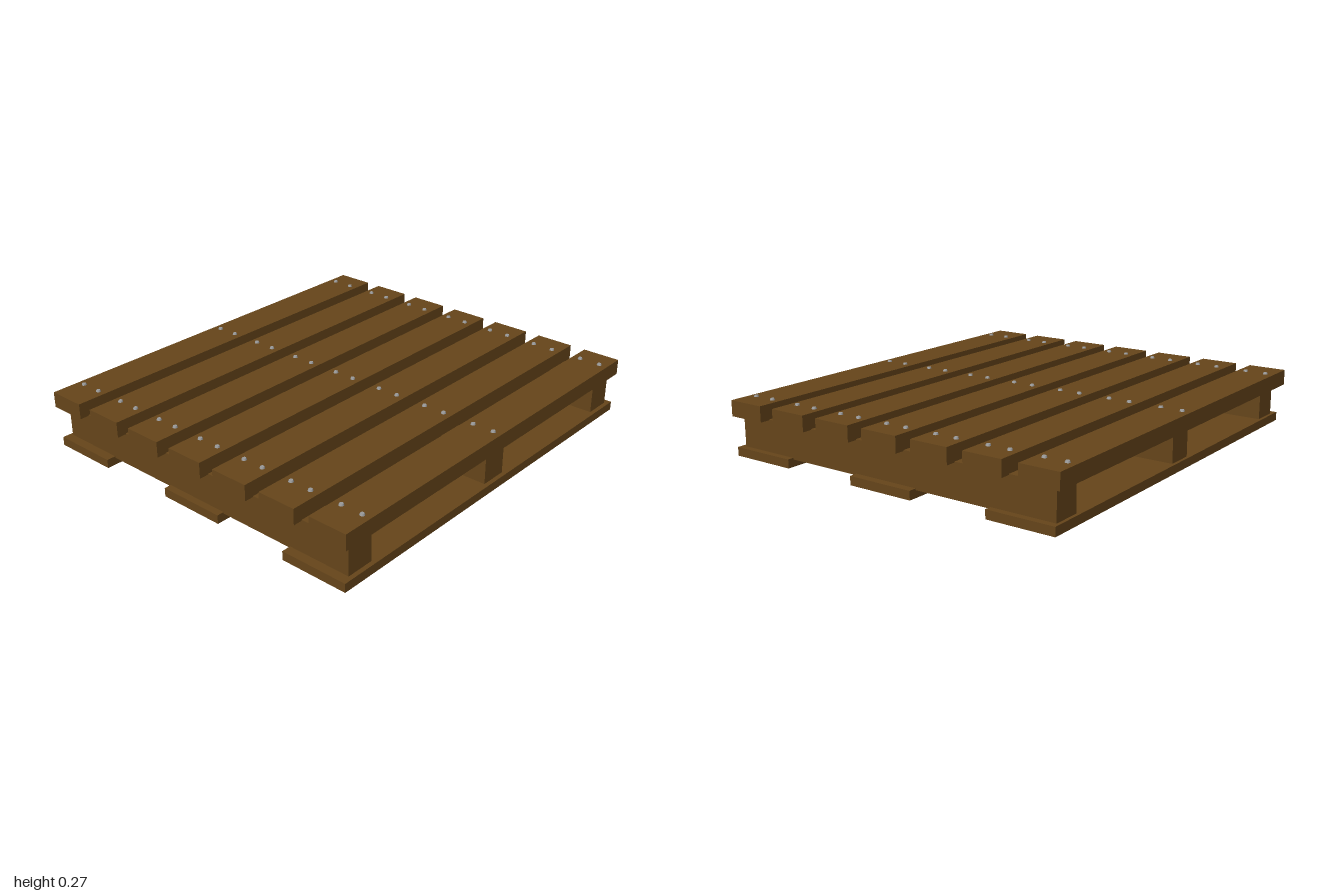
import * as THREE from 'three';

export function createModel() {
  const model = new THREE.Group();
  model.name = 'pallet';
  const wood = new THREE.MeshStandardMaterial({ color: 0x66451a });
  const steel = new THREE.MeshStandardMaterial({ color: 0x999999 });

  // Box given by its minimum and maximum on each axis
  const board = (name, [x0, x1], [y0, y1], [z0, z1]) => {
    const mesh = new THREE.Mesh(new THREE.BoxGeometry(x1 - x0, y1 - y0, z1 - z0), wood);
    mesh.position.set((x0 + x1) / 2, (y0 + y1) / 2, (z0 + z1) / 2);
    mesh.name = name;
    model.add(mesh);
  };

  // Bottom boards, laid slightly unevenly
  board('bottomBoardFront', [-1, 0.983], [0, 0.041], [0.552, 0.877]);
  board('bottomBoardMiddle', [-0.99, 0.99], [0, 0.041], [-0.152, 0.175]);
  board('bottomBoardBack', [-1, 0.983], [0, 0.041], [-0.85, -0.527]);

  // Stringers running front to back
  board('stringerRight', [-0.956, -0.823], [0.034, 0.192], [-0.835, 0.856]);
  board('stringerMiddle', [-0.067, 0.065], [0.034, 0.192], [-0.835, 0.856]);
  board('stringerLeft', [0.82, 0.953], [0.034, 0.192], [-0.835, 0.856]);

  // Seven deck planks, each with two nails over every stringer
  const nailHead = new THREE.CylinderGeometry(0.009, 0.013, 0.012, 12);
  for (let i = -3; i <= 3; i++) {
    const z = i * 0.2625;
    board('deckPlank', [-1, 1], [0.188, 0.262], [z - 0.093, z + 0.093]);
    for (const x of [-0.86, 0, 0.89]) {
      for (const dz of [-0.052, 0.052]) {
        const nail = new THREE.Mesh(nailHead, steel);
        nail.position.set(x, 0.264, z + dz);
        nail.name = 'nailHead';
        model.add(nail);
      }
    }
  }
  return model;
}
